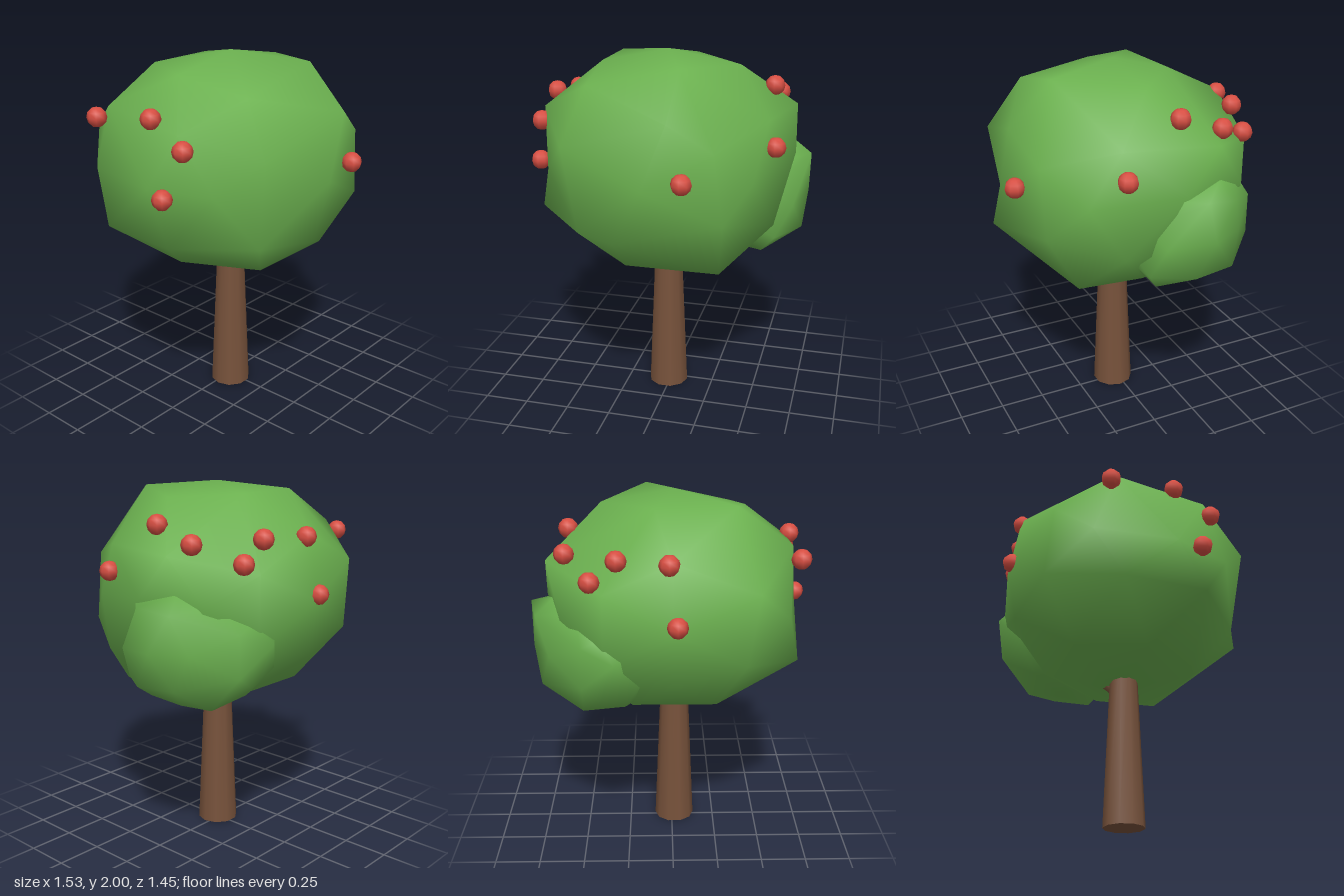
import * as THREE from 'three';
import { mergeVertices } from 'three/addons/utils/BufferGeometryUtils.js';

const leafMat = new THREE.MeshStandardMaterial({ color: 0x6bb04f });
const barkMat = new THREE.MeshStandardMaterial({ color: 0x77523b });
const fruitMat = new THREE.MeshStandardMaterial({ color: 0xd64e42 });

// Leafy lump: a coarse icosphere whose nearest vertex is pulled to each given corner
function leafClump(name, center, scale, corners) {
  let geo = new THREE.IcosahedronGeometry(1, 1);
  geo.deleteAttribute('normal');
  geo.deleteAttribute('uv');
  geo = mergeVertices(geo, 1e-3);
  geo.scale(...scale).translate(...center);
  const pos = geo.attributes.position, base = pos.clone();
  const v = new THREE.Vector3();
  for (const c of corners) {
    const target = new THREE.Vector3(...c);
    let best = 0, bestDist = Infinity;
    for (let i = 0; i < base.count; i++) {
      const d = v.fromBufferAttribute(base, i).distanceTo(target);
      if (d < bestDist) [best, bestDist] = [i, d];
    }
    pos.setXYZ(best, ...c);
  }
  geo.computeVertexNormals();
  const mesh = new THREE.Mesh(geo, leafMat);
  mesh.name = name;
  return mesh;
}

// Tapered limb between two points
function limb(name, from, to, r0, r1, sides) {
  const a = new THREE.Vector3(...from), b = new THREE.Vector3(...to);
  const dir = b.clone().sub(a);
  const geo = new THREE.CylinderGeometry(r1, r0, dir.length(), sides, 1, false, Math.PI / 2);
  const mesh = new THREE.Mesh(geo, barkMat);
  mesh.position.copy(a).lerp(b, 0.5);
  mesh.quaternion.setFromUnitVectors(new THREE.Vector3(0, 1, 0), dir.normalize());
  mesh.name = name;
  return mesh;
}

export function createModel() {
  const tree = new THREE.Group();
  tree.name = 'fruitTree';

  // Trunk and the short branch that carries the side clump
  tree.add(limb('trunk', [-0.015, 0, 0.025], [-0.015, 1.0, 0.025], 0.115, 0.073, 10));
  tree.add(limb('branch', [0.025, 0.8, 0], [0.3, 1.1, -0.2], 0.042, 0.03, 7));

  // Main crown
  tree.add(leafClump('crown', [-0.01, 1.4, 0], [0.73, 0.61, 0.73], [
    // top
    [-0.01, 2, 0.02], [-0.34, 1.95, -0.22], [0.38, 1.93, 0.02],
    [0.14, 1.965, 0.43], [0.09, 1.945, -0.25], [-0.35, 1.86, 0.42],
    // shoulders
    [0.66, 1.68, -0.25], [0.57, 1.69, 0.24], [-0.62, 1.76, -0.28], [-0.65, 1.7, 0.23],
    [0, 1.76, -0.62], [0.13, 1.74, 0.66],
    // waist
    [0.68, 1.45, -0.07], [-0.69, 1.4, 0.05], [0, 1.42, -0.68], [0, 1.4, 0.68],
    [-0.61, 1.4, -0.41], [-0.58, 1.4, 0.4], [0.52, 1.4, 0.4], [0.58, 1.43, -0.43],
    [-0.43, 1.58, 0.6], [0.4, 1.22, 0.58], [-0.44, 1.58, -0.57],
    // underside
    [-0.7, 1.12, 0.2], [-0.68, 1.12, -0.26], [0.61, 1.13, 0.24],
    [-0.14, 1.12, 0.69], [0, 1.12, -0.63], [-0.38, 1.1, 0.53],
    [-0.4, 0.89, 0], [0.33, 0.845, 0], [0.04, 0.805, 0], [0.35, 0.88, 0.39], [-0.17, 0.87, 0.37],
  ]));

  // Smaller clump bulging from the back of the left side
  tree.add(leafClump('sideClump', [0.37, 1.18, -0.22], [0.38, 0.32, 0.4], [
    // outer face
    [0.76, 1.43, -0.14], [0.72, 1.4, -0.32], [0.73, 1.01, -0.1], [0.7, 1.02, -0.33],
    [0.75, 1.2, -0.2], [0.69, 1.18, 0.05], [0.65, 1.2, -0.39],
    // top, back and underside
    [0.6, 1.42, 0.04], [0.62, 1.49, -0.28], [0.49, 1.45, -0.45], [0.47, 1.3, -0.56],
    [0.3, 1.24, -0.64], [0.47, 1.08, -0.56], [0.52, 0.88, -0.2],
    [0.48, 0.88, -0.38], [0.52, 0.89, 0.02], [0.6, 1.0, 0.1],
  ]));

  // Fruit scattered over the crown
  const fruitGeo = new THREE.SphereGeometry(0.054, 8, 6);
  const spots = [
    [0.55, 1.81, -0.08], [0.605, 1.55, 0.23], [0.21, 1.455, 0.67],
    [0.555, 1.73, -0.32], [0.415, 1.64, -0.535], [0.28, 1.75, -0.545],
    [0.02, 1.745, -0.61], [-0.02, 1.45, -0.67], [-0.66, 1.7, -0.33],
    [-0.645, 1.75, 0.05], [-0.655, 1.63, 0.27], [-0.712, 1.38, 0.18],
  ];
  spots.forEach((p, i) => {
    const fruit = new THREE.Mesh(fruitGeo, fruitMat);
    fruit.position.set(...p);
    fruit.name = `fruit${i + 1}`;
    tree.add(fruit);
  });

  return tree;
}
